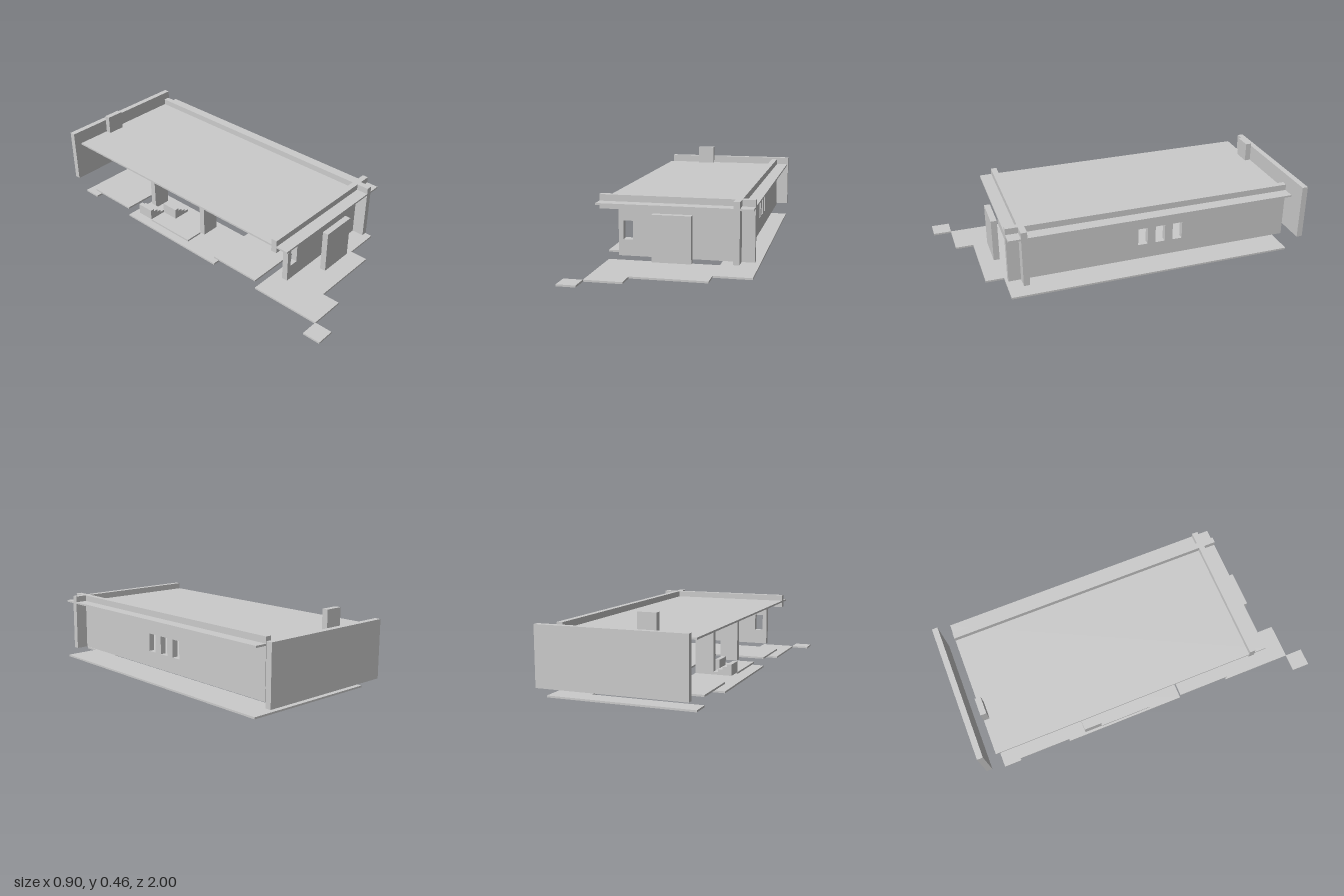
import * as THREE from 'three';

const T = 0.033; // wall thickness
const BASE = 0.07, ROOF = 0.35, TOP = 0.384;

export function createModel() {
  const house = new THREE.Group();
  house.name = 'house';
  const material = new THREE.MeshStandardMaterial({ color: 0xcccccc, flatShading: true });

  const add = (name, geometry) => {
    const mesh = new THREE.Mesh(geometry, material);
    mesh.name = name;
    house.add(mesh);
    return mesh;
  };
  // Box given by its limits on each axis
  const box = (name, [x0, x1], [y0, y1], [z0, z1]) => add(name,
    new THREE.BoxGeometry(x1 - x0, y1 - y0, z1 - z0)
      .translate((x0 + x1) / 2, (y0 + y1) / 2, (z0 + z1) / 2));
  const outline = (points) => new THREE.Shape(points.map(([a, b]) => new THREE.Vector2(a, b)));
  const rect = (a0, a1, b0, b1) => outline([[a0, b0], [a1, b0], [a1, b1], [a0, b1]]);
  const extrude = (shape, depth) => new THREE.ExtrudeGeometry(shape, { depth, bevelEnabled: false });
  // Flat plate drawn in x and z, with its top at the given height
  const plate = (name, points, top, depth = 0.01) =>
    add(name, extrude(outline(points), depth).rotateX(Math.PI / 2).translate(0, top, 0));

  // Ground: stepped terrace wrapped around the raised floor
  plate('ground', [
    [0.45, -0.9], [0.45, 0.7], [0.25, 0.7], [0.25, 0.8], [-0.15, 0.8], [-0.15, 0.9],
    [-0.35, 0.9], [-0.35, 0.5], [0.25, 0.5], [0.25, -0.8], [-0.35, -0.8], [-0.35, -0.9],
  ], 0.01);
  box('steppingSlab', [-0.45, -0.35], [0, 0.01], [0.9, 1]);
  box('courtyardSlab', [-0.35, -0.05], [0, 0.01], [-0.5, 0.2]);

  // Raised floor, notched around the courtyard
  plate('floor', [
    [0.25, -0.8], [0.25, 0.5], [-0.35, 0.5], [-0.35, 0.2],
    [-0.05, 0.2], [-0.05, -0.5], [-0.35, -0.5], [-0.35, -0.8],
  ], 0.06);
  box('landing', [-0.35, -0.25], [0.06, 0.07], [-0.3, 0]);

  // Front wall with an open doorway at its end and one window
  const front = outline([
    [-0.25, BASE], [0.45, BASE], [0.45, TOP], [-0.35, TOP], [-0.35, 0.31], [-0.25, 0.31],
  ]);
  front.holes.push(rect(-0.225, -0.175, 0.155, 0.253));
  add('frontWall', extrude(front, T).translate(0, 0, 0.6));

  // Side wall, drawn in -z and y, with three windows
  const side = rect(-0.7, 0.9, BASE, TOP);
  for (const z of [0.02, 0.12, 0.22]) side.holes.push(rect(z, z + 0.055, 0.155, 0.253));
  add('sideWall', extrude(side, T).rotateY(Math.PI / 2).translate(0.35, 0, 0));

  box('backWall', [-0.35, 0.45], [BASE, TOP], [-1, -1 + T]);

  // Roof and chimney
  box('roof', [-0.35, 0.45], [ROOF - 0.01, ROOF], [-0.9, 0.7]);
  box('chimney', [-0.15, -0.05], [ROOF, 0.456], [-0.9, -0.9 + T]);

  // Door panels at both ends
  for (const [name, z] of [['frontDoor', 0.7], ['backDoor', -0.9]])
    box(name, [-0.05, 0.15], [BASE, 0.31], [z, z + T]);

  // Pillars on either side of the courtyard
  for (const z of [-0.4, 0])
    box('pillar', [-0.25, -0.15], [BASE, ROOF - 0.01], [z, z + T]);

  // Two short flights of four steps
  const steps = [[0, 0]];
  for (let i = 0; i < 4; i++) {
    const height = 0.015 * (i + 1), x = 0.1 - 0.025 * i;
    steps.push([x, height - 0.015], [x, height]);
  }
  steps.push([0, 0.06]);
  steps.splice(1, 1, [0.1, 0]);
  for (const [x, z] of [[-0.35, -0.4], [-0.25, -0.3]])
    add('stairs', extrude(outline(steps), 0.1).translate(x, BASE, z));

  return house;
}
